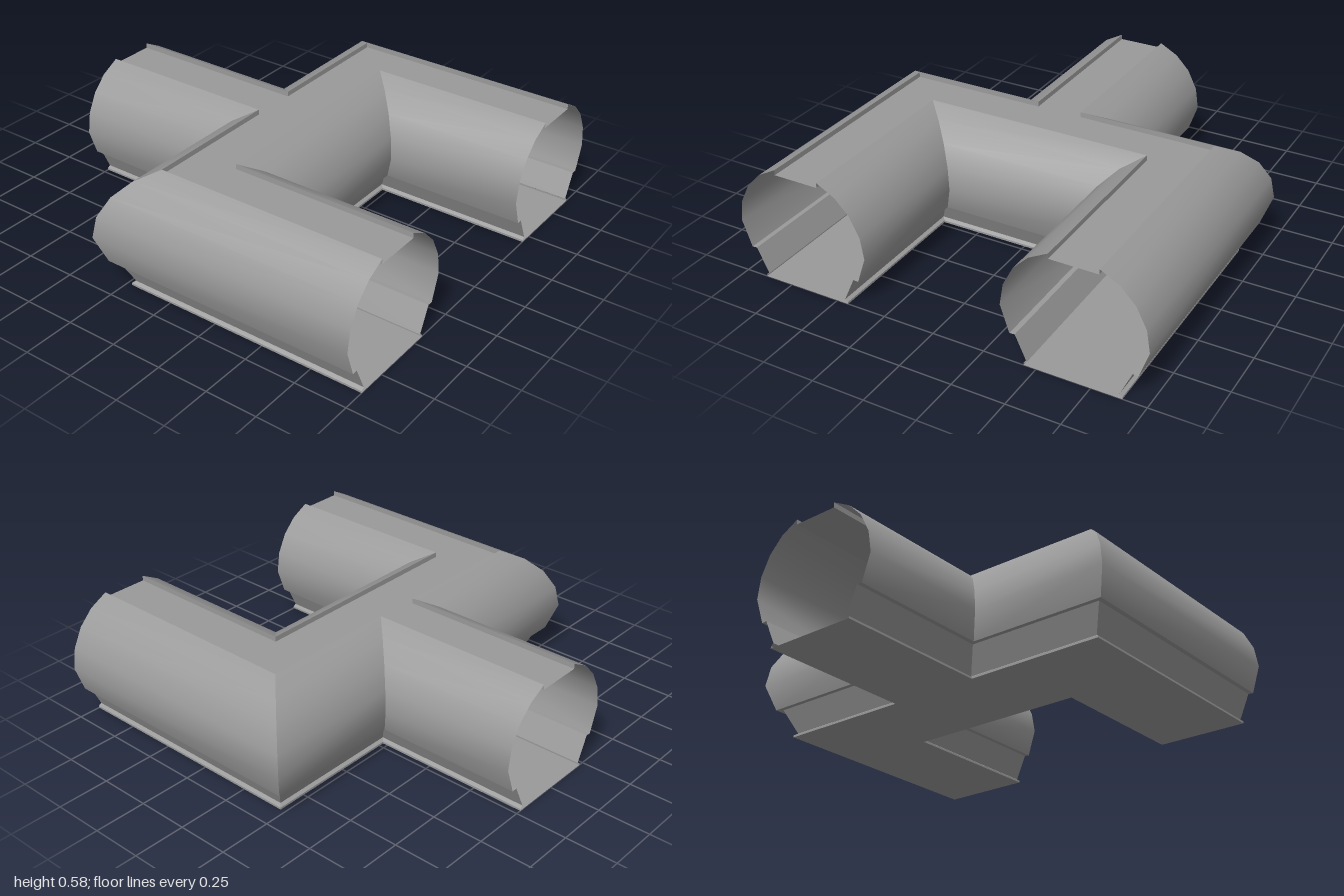
import * as THREE from 'three';
import { toCreasedNormals } from 'three/addons/utils/BufferGeometryUtils.js';

const ARM = 2 / 3;      // centre line of the two front arms
const R = 1 / 3;        // tunnel radius
const AXIS_Y = 0.265;   // height of the tunnel axis
const GROOVE = 0.111;   // half width of the roof strip
const ROOF_Y = 0.555;
const FLOOR = 0.225;    // half width of the floor

// Plan outlines at distance d from the centre lines, as [x, z]
const leftPath = d => [[-d, -1], [-d, -d], [-ARM - d, -d], [-ARM - d, 1]];
const innerPath = d => [[-ARM + d, 1], [-ARM + d, d], [ARM - d, d], [ARM - d, 1]];
const rightPath = d => leftPath(d).map(([x, z]) => [-x, z]).reverse();

// Sweep a [distance, height] profile along a mitred outline
function sweep(profile, path) {
  const pos = [];
  const rows = profile.map(([d, y]) => path(d).map(([x, z]) => [x, y, z]));
  for (let i = 0; i < rows.length - 1; i++) {
    for (let j = 0; j < rows[i].length - 1; j++) {
      const a = rows[i][j], b = rows[i + 1][j], c = rows[i][j + 1], e = rows[i + 1][j + 1];
      pos.push(...a, ...b, ...c, ...b, ...e, ...c);
    }
  }
  const g = new THREE.BufferGeometry();
  g.setAttribute('position', new THREE.Float32BufferAttribute(pos, 3));
  return toCreasedNormals(g, 0.55);
}

// Flat sheet filling the whole outline; facing is 1 for up, -1 for down
function sheet(d, y, facing) {
  const pts = [...leftPath(d), ...innerPath(d), ...rightPath(d)]
    .map(([x, z]) => new THREE.Vector2(x, -facing * z));
  return new THREE.ShapeGeometry(new THREE.Shape(pts))
    .rotateX(-facing * Math.PI / 2).translate(0, y, 0);
}

export function createModel() {
  const model = new THREE.Group();
  const material = new THREE.MeshStandardMaterial({ color: 0x9a9a9a, side: THREE.DoubleSide });
  const add = (name, geometry) => {
    const mesh = new THREE.Mesh(geometry, material);
    mesh.name = name;
    model.add(mesh);
  };

  // Rounded upper wall, from the roof lip down to its lower rim
  const upper = [[GROOVE, ROOF_Y]];
  for (const deg of [70.5, 53, 36, 18, 0]) {
    const t = THREE.MathUtils.degToRad(deg);
    upper.push([R * Math.cos(t), AXIS_Y + R * Math.sin(t)]);
  }
  upper.push([0.29, 0.138]);

  // Narrow ledge, sloping lower wall and small foot flange
  const lower = [[0.29, 0.138], [0.265, 0.14], [0.21, 0.02], [FLOOR, 0.01], [FLOOR, 0]];

  const sides = { left: rightPath, inner: innerPath, right: leftPath };
  for (const [side, path] of Object.entries(sides)) {
    add(side + 'UpperWall', sweep(upper, path));
    add(side + 'LowerWall', sweep(lower, path));
  }

  // Recessed roof strip and floor
  add('roofStrip', sheet(GROOVE, ROOF_Y, 1));
  add('floor', sheet(FLOOR, 0, -1));
  return model;
}
